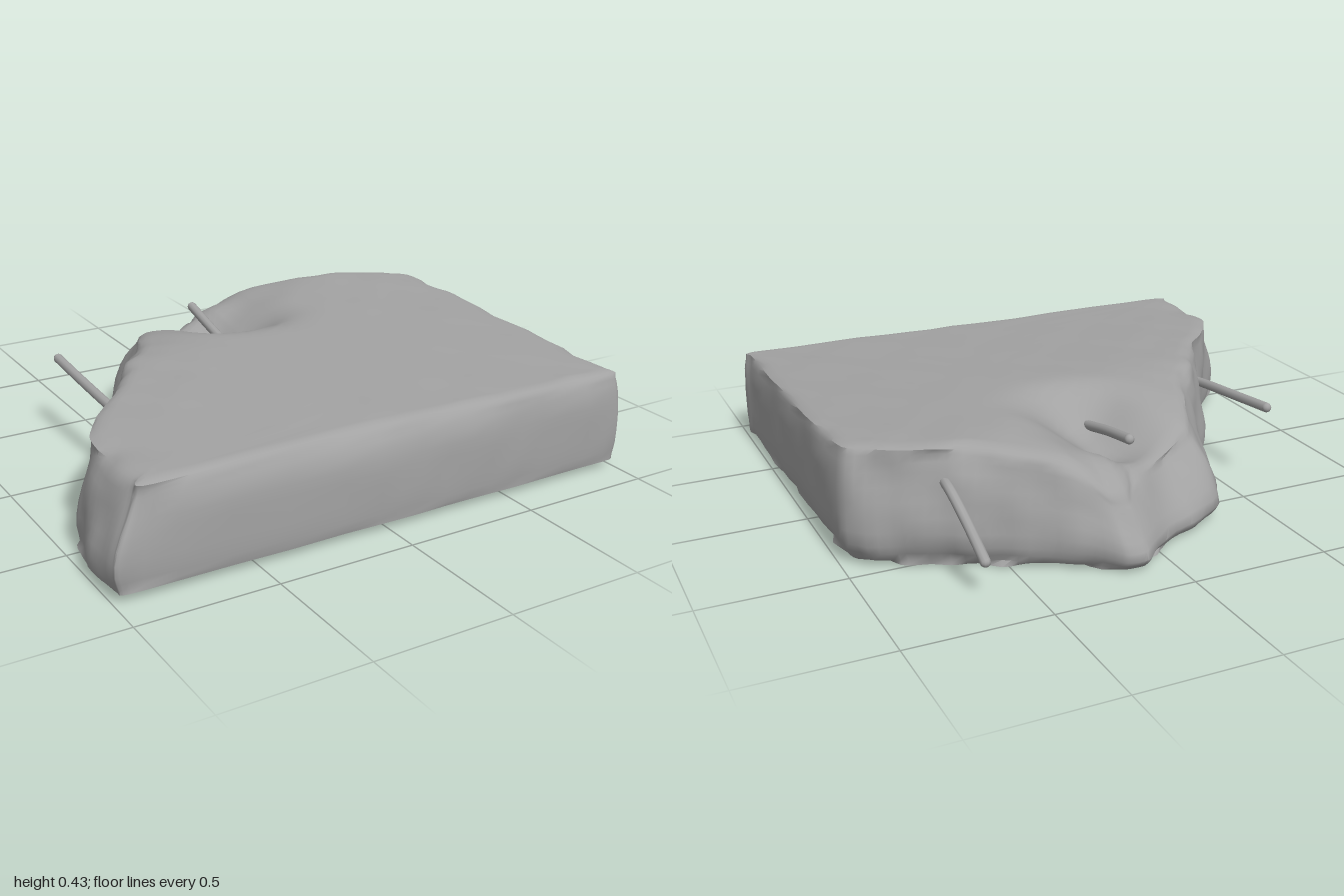
import * as THREE from 'three';
import { toCreasedNormals } from 'three/addons/utils/BufferGeometryUtils.js';

const COLS = 150, TOP_RINGS = 20, BOTTOM_RINGS = 3;
const CENTRE = new THREE.Vector2(0.2, 0.2);
const { lerp, clamp } = THREE.MathUtils;

// Outline columns: widest edge x, z; top rim x, z; drop of the rim below the top plane
const OUTLINE = [
  [0.985, 0.875, 0.97, 0.855, 0], [0.5, 0.88, 0.5, 0.855, 0], [0, 0.88, 0, 0.835, 0],
  [-0.93, 0.875, -0.86, 0.845, 0], [-0.99, 0.85, -0.89, 0.8, 0],
  [-1, 0.7, -0.9, 0.66, 0.01], [-0.97, 0.5, -0.88, 0.45, 0.01], [-0.8, 0.3, -0.77, 0.28, 0.01],
  [-0.7, 0.17, -0.66, 0.17, 0.01], [-0.61, 0.01, -0.57, 0.02, 0.01], [-0.56, -0.13, -0.49, -0.1, 0.02],
  [-0.47, -0.25, -0.41, -0.2, 0.03], [-0.4, -0.45, -0.32, -0.36, 0.06], [-0.32, -0.63, -0.25, -0.5, 0.1],
  [-0.15, -0.71, -0.1, -0.58, 0.13], [0.02, -0.82, 0.06, -0.68, 0.15], [0.1, -0.88, 0.13, -0.77, 0.19],
  [0.18, -0.885, 0.2, -0.78, 0.18], [0.3, -0.79, 0.3, -0.71, 0.08], [0.5, -0.69, 0.47, -0.63, 0.03],
  [0.68, -0.6, 0.66, -0.56, 0], [0.85, -0.52, 0.84, -0.48, 0], [0.99, -0.41, 0.965, -0.38, 0],
  [0.995, -0.1, 0.985, -0.1, 0], [0.995, 0.4, 0.985, 0.4, 0], [0.995, 0.8, 0.98, 0.8, 0],
];

const topPlane = z => 0.408 - 0.039 * z;
const bottomPlane = z => 0.018 + 0.017 * z;
// Hollow where the middle bar leaves the slab
const hollow = (x, z) => 0.165 * Math.exp(-(((x - 0.07) / 0.18) ** 2) - Math.abs((z + 0.39) / 0.2) ** 3);
// The underside is cut back, more so towards the broken rear
const undercut = z => 0.01 + 0.05 * clamp(0.6 - z, 0, 1);
// Smooth ripple for the broken sides and chipped edges
const ripple = (x, y, z) =>
  Math.sin(13 * x + 9 * y + 4) * Math.sin(15 * z - 7 * y) + 0.6 * Math.sin(29 * x - 17 * y + 1) * Math.cos(27 * z + 11 * y);
const chip = (x, z) => Math.max(0, ripple(x, 0.3, z));
// The front and the left side are cast straight, the rest is broken
const isCast = p => (p.z > 0.8 && p.x > -0.9) || p.x > 0.95;

function closedCurve(points) {
  return new THREE.CatmullRomCurve3(points, true, 'catmullrom', 0.25);
}

function slabGeometry() {
  const lower = closedCurve(OUTLINE.map(p => new THREE.Vector3(p[0], 0, p[1])));
  const upper = closedCurve(OUTLINE.map(p => new THREE.Vector3(p[2], p[4], p[3])));
  const rings = [];
  const addRing = rule => {
    const ring = [];
    for (let i = 0; i < COLS; i++) {
      const t = i / COLS;
      ring.push(rule(lower.getPoint(t), upper.getPoint(t)));
    }
    rings.push(ring);
  };
  const towardCentre = (p, s) => [lerp(p.x, CENTRE.x, s), lerp(p.z, CENTRE.y, s)];

  // Flat underside, from the centre out to a chipped edge
  for (let k = 0; k <= BOTTOM_RINGS; k++) {
    addRing(lo => {
      const inset = undercut(lo.z) * (1 + 0.5 * ripple(lo.x, 0, lo.z));
      const [x, z] = towardCentre(lo, 1 - (1 - inset) * k / BOTTOM_RINGS);
      return [x, bottomPlane(z), z];
    });
  }
  // Sides: undercut at the floor, widest low down, leaning in to the rim
  for (const h of [0.05, 0.12, 0.2, 0.32, 0.45, 0.58, 0.7, 0.82, 0.9, 0.96]) {
    addRing((lo, up) => {
      const cast = isCast(lo);
      const f = Math.max(0, (h - 0.15) / 0.85) ** (cast ? 6 : 1.35);
      let x = lerp(lo.x, up.x, f), z = lerp(lo.z, up.z, f);
      const rimY = topPlane(up.z) - up.y - hollow(up.x, up.z) - 0.015;
      const y = lerp(bottomPlane(lo.z), rimY, h);
      const cut = 0.8 * undercut(lo.z) * Math.max(0, 1 - h / 0.25) ** 1.3;
      const rough = (cast ? 0.004 : 0.013) * ripple(x, y, z);
      const s = cut - rough + (h > 0.85 ? 0.008 * chip(x, z) : 0);
      x = lerp(x, CENTRE.x, s);
      z = lerp(z, CENTRE.y, s);
      return [clamp(x, -1, 1), y, clamp(z, -0.885, 0.885)];
    });
  }
  // Top, from the rounded and chipped rim in to the centre
  for (let k = 0; k <= TOP_RINGS; k++) {
    const s = (k / TOP_RINGS) ** 1.4;
    addRing((lo, up) => {
      const edge = Math.max(0, 1 - s / 0.03);
      const [x, z] = towardCentre(up, s + 0.015 * chip(up.x, up.z) * (1 - s));
      const fade = Math.max(0, 1 - s / 0.35) ** 1.5;
      const y = topPlane(z) - up.y * fade - hollow(x, z);
      return [x, y - edge * (0.01 + 0.008 * chip(up.x, up.z)) + 0.002 * ripple(x, 0, z) * (1 - s), z];
    });
  }

  const index = [], last = rings.length - 2;
  for (let r = 0; r <= last; r++) {
    for (let i = 0; i < COLS; i++) {
      const j = (i + 1) % COLS;
      const a = r * COLS + i, b = r * COLS + j, c = a + COLS, d = b + COLS;
      if (r > 0) index.push(a, c, b);
      if (r < last) index.push(b, c, d);
    }
  }
  const geometry = new THREE.BufferGeometry();
  geometry.setAttribute('position', new THREE.Float32BufferAttribute(rings.flat(2), 3));
  geometry.setIndex(index);
  return toCreasedNormals(geometry, 0.95);
}

// Bent bar with a domed free end
function makeBar(name, points, material) {
  const radius = 0.018;
  const bar = new THREE.Group();
  bar.name = name;
  const path = points.map(p => new THREE.Vector3(...p));
  const rod = new THREE.Mesh(new THREE.TubeGeometry(new THREE.CatmullRomCurve3(path), 16, radius, 10), material);
  rod.name = name + 'Rod';
  const tip = new THREE.Mesh(new THREE.SphereGeometry(radius, 10, 8), material);
  tip.name = name + 'Tip';
  tip.position.copy(path[path.length - 1]);
  bar.add(rod, tip);
  return bar;
}

export function createModel() {
  const model = new THREE.Group();
  model.name = 'brokenSlab';
  const material = new THREE.MeshStandardMaterial({ color: 0xa2a2a2 });

  const slab = new THREE.Mesh(slabGeometry(), material);
  slab.name = 'slab';
  model.add(slab);

  // Reinforcing bars sticking out of the broken edge
  model.add(
    makeBar('rightBar', [[-0.605, 0.26, 0.1], [-0.615, 0.27, 0], [-0.622, 0.29, -0.22], [-0.626, 0.31, -0.43]], material),
    makeBar('middleBar', [[0.02, 0.27, -0.15], [0.022, 0.285, -0.24], [0.025, 0.325, -0.42], [0.036, 0.36, -0.6]], material),
    makeBar('leftBar', [[0.68, 0.31, -0.52], [0.685, 0.3, -0.61], [0.675, 0.24, -0.71], [0.65, 0.13, -0.81]], material),
  );
  return model;
}
